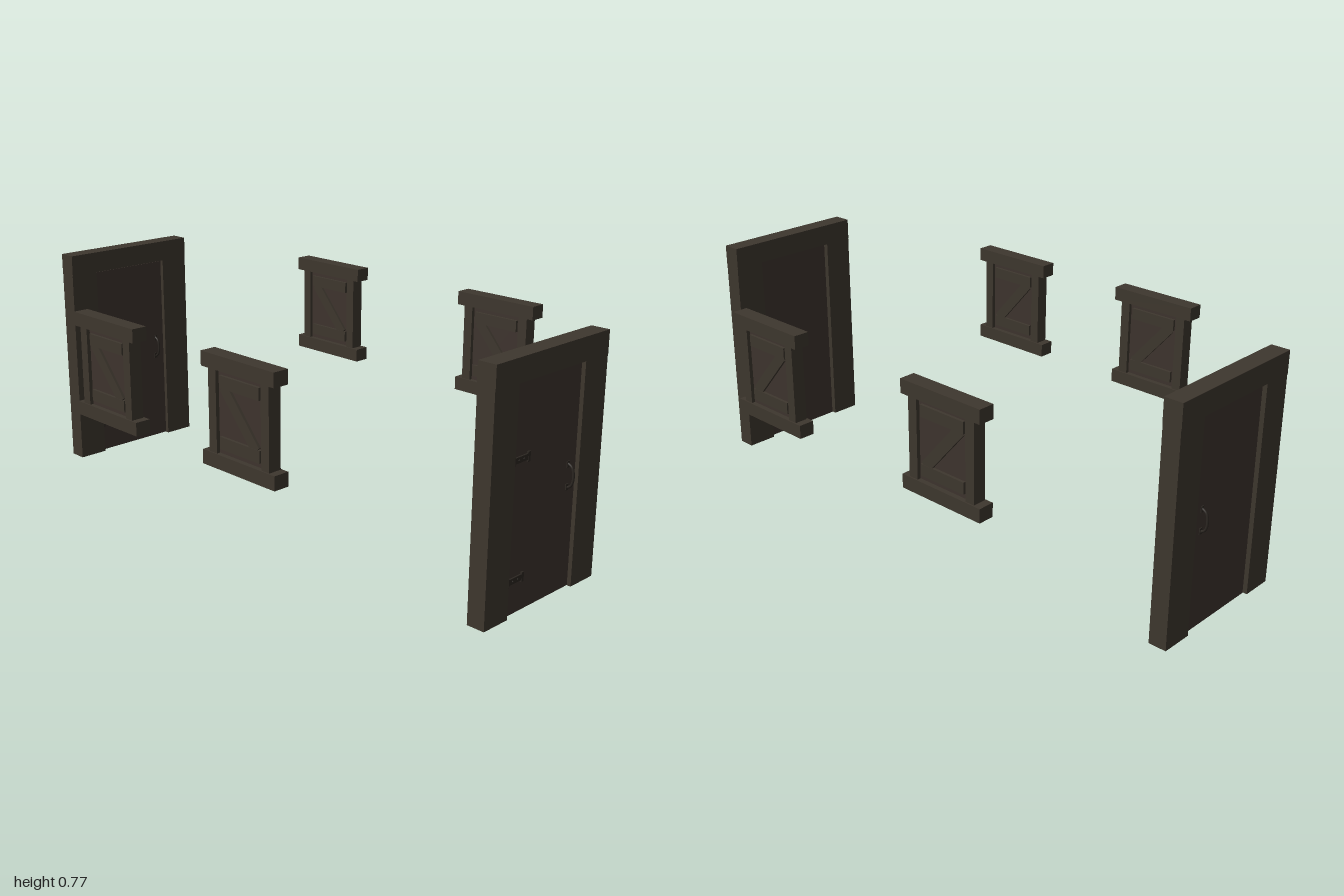
import * as THREE from 'three';

const material = (name, color) => {
  const m = new THREE.MeshStandardMaterial({ color });
  m.name = name;
  return m;
};

export function createModel() {
  const wood = material('dark wood', 0x3e372e);
  const boards = material('brown boards', 0x3e342e);
  const iron = material('black iron', 0x2c2722);

  // Box given by its lower and upper bounds on each axis
  const block = (parent, name, mat, [x0, x1], [y0, y1], [z0, z1]) => {
    const mesh = new THREE.Mesh(new THREE.BoxGeometry(x1 - x0, y1 - y0, z1 - z0), mat);
    mesh.position.set((x0 + x1) / 2, (y0 + y1) / 2, (z0 + z1) / 2);
    mesh.name = name;
    parent.add(mesh);
    return mesh;
  };

  // Strap hinge on the front of the door leaf
  function hinge(y) {
    const g = new THREE.Group();
    g.name = 'hinge';
    const knuckle = new THREE.Mesh(new THREE.CylinderGeometry(0.005, 0.005, 0.028, 8), iron);
    knuckle.name = 'hingeKnuckle';
    knuckle.position.set(-0.15, 0, 0.021);
    g.add(knuckle);
    block(g, 'hingeStrap', iron, [-0.15, -0.085], [-0.009, 0.009], [0.016, 0.023]);
    block(g, 'hingeEnd', iron, [-0.09, -0.08], [-0.015, 0.015], [0.016, 0.024]);
    for (const x of [-0.13, -0.108]) {
      const rivet = new THREE.Mesh(new THREE.SphereGeometry(0.003, 8, 6), iron);
      rivet.name = 'hingeRivet';
      rivet.position.set(x, 0, 0.023);
      g.add(rivet);
    }
    g.position.y = y;
    return g;
  }

  // Bowed pull handle with a small plate at each end
  function handle(side) {
    const g = new THREE.Group();
    g.name = 'handle';
    const path = new THREE.CatmullRomCurve3([
      [0.398, 0.018], [0.388, 0.033], [0.372, 0.039],
      [0.348, 0.039], [0.332, 0.033], [0.322, 0.018],
    ].map(([y, z]) => new THREE.Vector3(0.11, y, side * z)));
    const bow = new THREE.Mesh(new THREE.TubeGeometry(path, 20, 0.004, 8), iron);
    bow.name = 'handleBow';
    g.add(bow);
    for (const y of [0.325, 0.395]) {
      const z = side * 0.019;
      block(g, 'handlePlate', iron, [0.104, 0.116], [y - 0.01, y + 0.01], [z - 0.002, z + 0.002]);
    }
    return g;
  }

  // Door in its heavy timber frame
  function door(z) {
    const g = new THREE.Group();
    g.name = 'door';
    block(g, 'doorLintel', wood, [-0.26, 0.256], [0.695, 0.768], [-0.031, 0.031]);
    block(g, 'doorPost', wood, [-0.26, -0.156], [0, 0.695], [-0.03, 0.03]);
    block(g, 'doorPost', wood, [0.149, 0.256], [0, 0.695], [-0.03, 0.03]);
    block(g, 'doorLeaf', boards, [-0.151, 0.147], [0.002, 0.691], [-0.018, 0.018]);
    g.add(hinge(0.47), hinge(0.108), handle(1), handle(-1));
    g.position.z = z;
    return g;
  }

  // Window shutter: rails, stiles, thin boards and a Z-shaped brace
  function shutter(x, y, z) {
    const g = new THREE.Group();
    g.name = 'shutter';
    for (const s of [-1, 1]) {
      const span = (a, b) => (s > 0 ? [a, b] : [-b, -a]);
      block(g, 'shutterRail', wood, [-0.0265, 0.0265], span(0.128, 0.173), [-0.155, 0.155]);
      block(g, 'shutterStile', wood, [-0.022, 0.022], [-0.128, 0.128], span(0.096, 0.129));
      block(g, 'braceBar', wood, [-0.019, 0.019], span(0.074, 0.112), [-0.085, 0.085]);
    }
    block(g, 'shutterBoards', boards, [-0.01, 0.01], [-0.128, 0.128], [-0.1, 0.1]);
    const diagonal = block(g, 'braceDiagonal', wood, [-0.018, 0.018], [-0.105, 0.105], [-0.018, 0.018]);
    diagonal.rotation.x = -Math.atan2(0.13, 0.15);
    g.position.set(x, y, z);
    return g;
  }

  const model = new THREE.Group();
  model.name = 'doorsAndShutters';
  model.add(
    door(0.957), door(-0.957),
    shutter(-0.537, 0.525, 0.315), shutter(-0.537, 0.525, -0.32),
    shutter(0.533, 0.538, 0.385), shutter(0.533, 0.538, -0.395),
  );
  return model;
}
